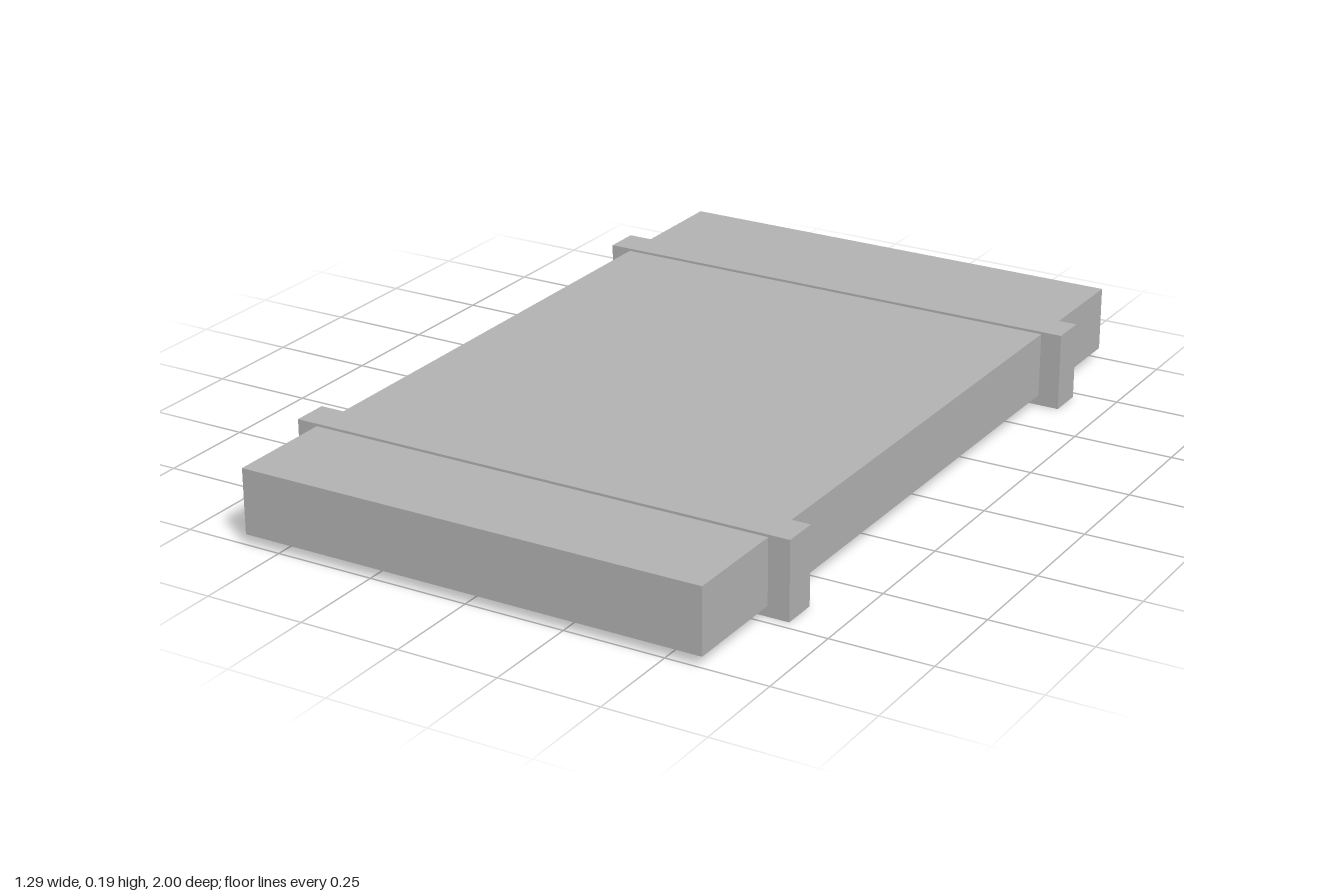
import * as THREE from 'three';

export function createModel() {
  const group = new THREE.Group();
  const grey = new THREE.MeshStandardMaterial({ color: 0xb2b2b2 });
  grey.name = 'grey';

  // Box given by its lower and upper limits on each axis
  function addBox(name, [x0, x1], [y0, y1], [z0, z1]) {
    const mesh = new THREE.Mesh(new THREE.BoxGeometry(x1 - x0, y1 - y0, z1 - z0), grey);
    mesh.position.set((x0 + x1) / 2, (y0 + y1) / 2, (z0 + z1) / 2);
    mesh.name = name;
    group.add(mesh);
  }

  // Main slab
  addBox('slab', [-0.59, 0.59], [0.026, 0.187], [-1, 1]);

  // Two bands wrapped around the slab, standing on the ground
  for (const [name, z] of [['frontBand', 0.68], ['backBand', -0.68]]) {
    addBox(name, [-0.643, 0.643], [0, 0.193], [z - 0.045, z + 0.045]);
  }

  // Thin plate under the slab, off to one side
  addBox('bottomPlate', [0.084, 0.456], [0.023, 0.027], [-0.27, 0.27]);

  return group;
}
